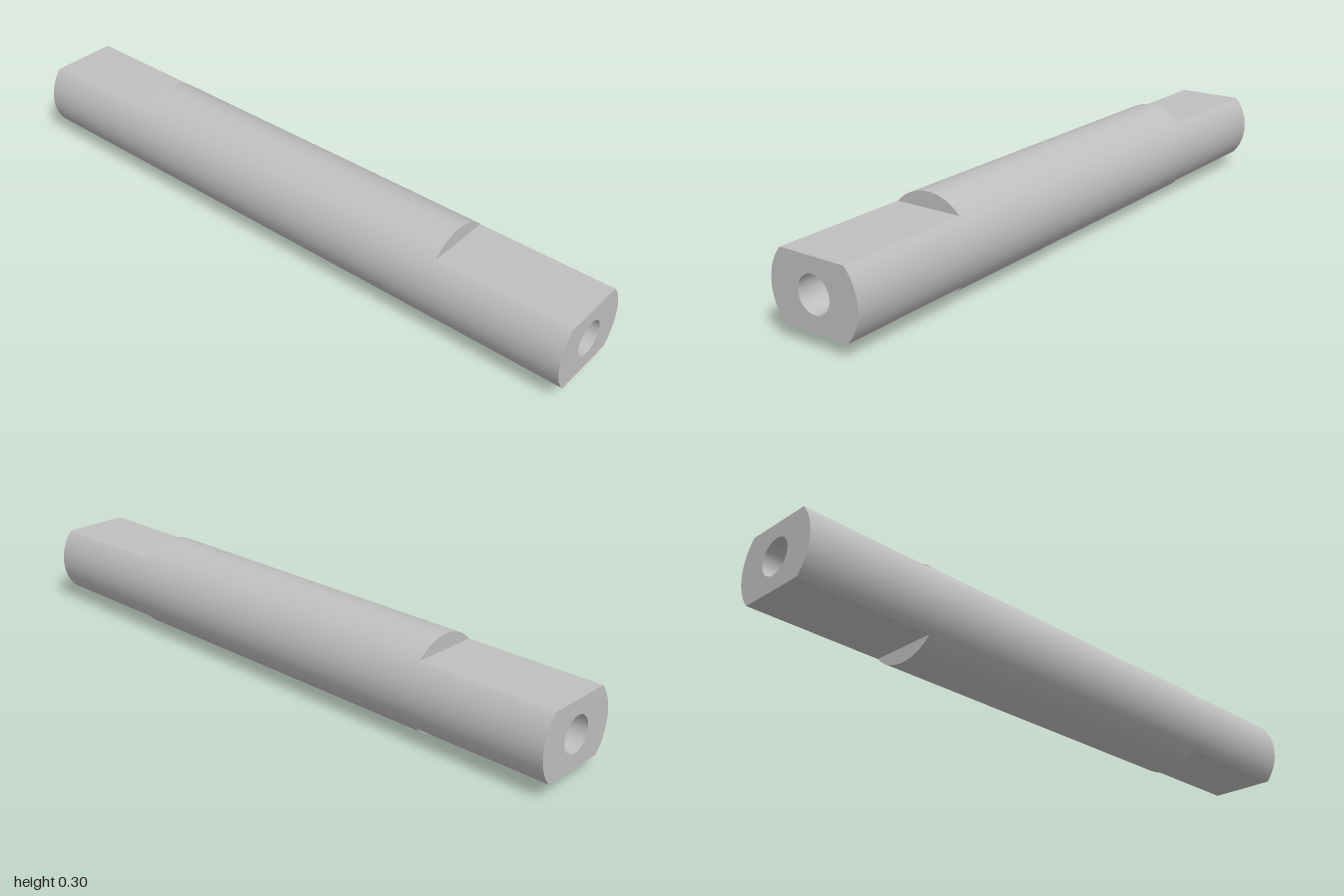
import * as THREE from 'three';

const R = 0.148;        // shaft radius, also axis height
const FLAT = 0.101;     // distance of the milled flats from the axis
const SHOULDER = 0.575; // where the flats begin
const BORE = 0.054;     // bore radius
const DEPTH = 0.3;      // bore depth
const A = Math.asin(FLAT / R);
const HALF_W = R * Math.cos(A);

export function createModel() {
  const steel = new THREE.MeshStandardMaterial({ color: 0xbfbfbf, side: THREE.DoubleSide });
  const model = new THREE.Group();
  model.name = 'shaft';

  const add = (parent, name, geometry) => {
    const mesh = new THREE.Mesh(geometry, steel);
    mesh.name = name;
    parent.add(mesh);
    return mesh;
  };
  // Open cylindrical strip along x, centred on an angle
  const strip = (radius, length, centre, half, segments) =>
    new THREE.CylinderGeometry(radius, radius, length, segments, 1, true, centre - half, 2 * half)
      .rotateZ(-Math.PI / 2);

  // Rounded sides run the full length, crowns only between the flats
  for (const s of [1, -1]) {
    add(model, 'roundedSide', strip(R, 2, s > 0 ? 0 : Math.PI, A, 40));
    add(model, 'crown', strip(R, 2 * SHOULDER, s * Math.PI / 2, Math.PI / 2 - A, 40));
  }

  // End face outline with bore opening
  const face = new THREE.Shape();
  face.absarc(0, 0, R, -A, A, false);
  face.absarc(0, 0, R, Math.PI - A, Math.PI + A, false);
  face.closePath();
  const opening = new THREE.Path();
  opening.absarc(0, 0, BORE, 0, Math.PI * 2, true);
  face.holes.push(opening);

  // Shoulder left by each milled flat
  const segment = new THREE.Shape();
  segment.absarc(0, 0, R, A, Math.PI - A, false);
  segment.closePath();

  for (const s of [1, -1]) {
    const end = new THREE.Group();
    end.name = s > 0 ? 'leftEnd' : 'rightEnd';
    end.rotation.y = s > 0 ? 0 : Math.PI;
    model.add(end);

    add(end, 'endFace', new THREE.ShapeGeometry(face, 40).rotateY(Math.PI / 2).translate(1, 0, 0));
    add(end, 'boreWall', strip(BORE, DEPTH, 0, Math.PI, 48).translate(1 - DEPTH / 2, 0, 0));
    add(end, 'boreFloor', new THREE.CircleGeometry(BORE, 48).rotateY(Math.PI / 2).translate(1 - DEPTH, 0, 0));

    for (const turn of [0, Math.PI]) {
      add(end, 'flat', new THREE.PlaneGeometry(1 - SHOULDER, 2 * HALF_W)
        .rotateX(-Math.PI / 2).translate((1 + SHOULDER) / 2, FLAT, 0).rotateX(turn));
      add(end, 'shoulder', new THREE.ShapeGeometry(segment, 40)
        .rotateY(Math.PI / 2).translate(SHOULDER, 0, 0).rotateX(turn));
    }
  }

  model.children.forEach((part) => { part.position.y = R; });
  return model;
}
